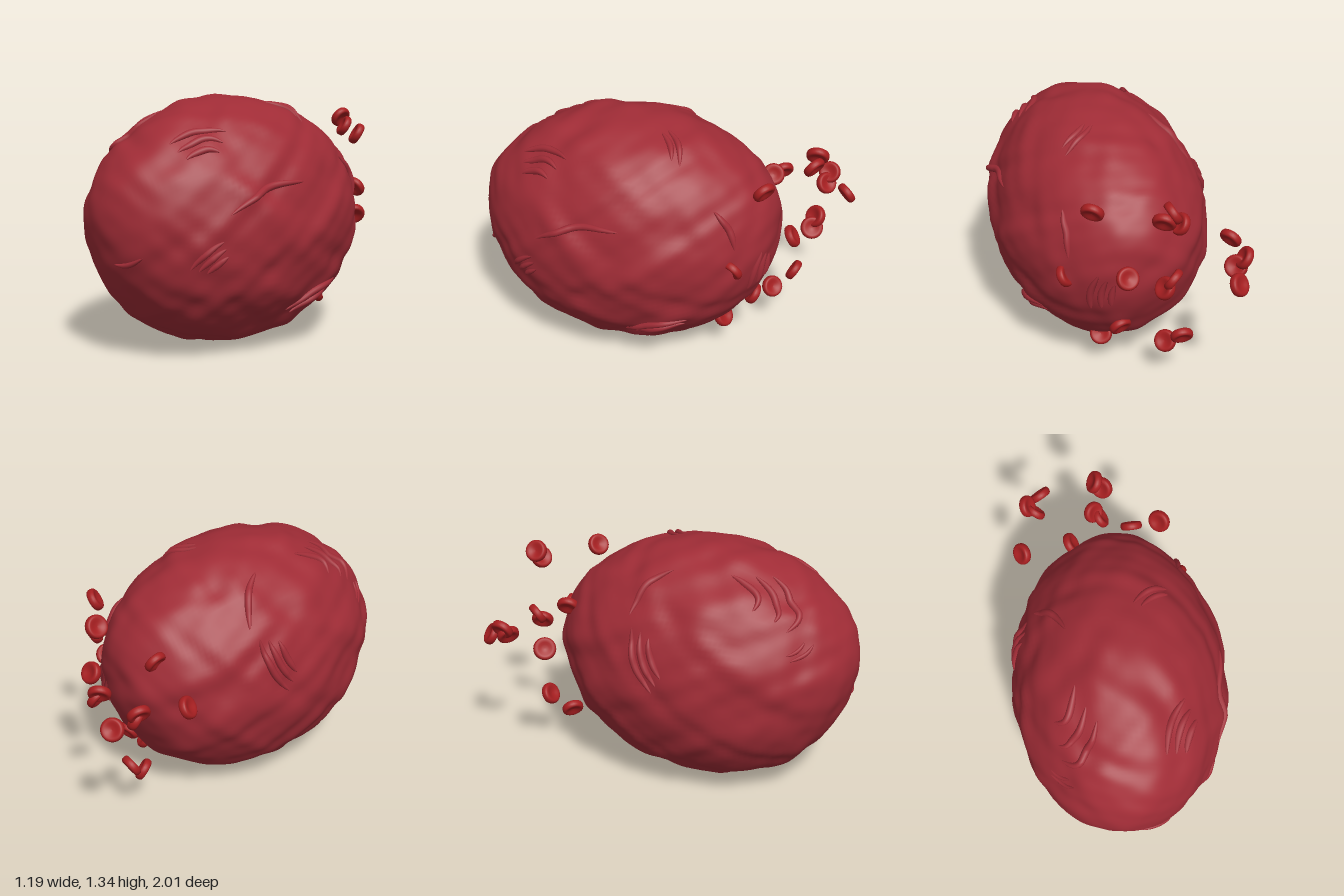
import * as THREE from 'three';
import { mergeVertices } from 'three/addons/utils/BufferGeometryUtils.js';

const fleshRed = new THREE.MeshStandardMaterial({ color: 0xa02c36 });
fleshRed.name = 'flesh red';
const cellRed = new THREE.MeshStandardMaterial({ color: 0xa51e20 });
cellRed.name = 'cell red';

// Gentle lumps: three layers of waves, each finer and shallower
function lumps({ x, y, z }) {
  let sum = 0;
  for (let k = 1; k <= 3; k++) {
    const f = 6 * k;
    sum += 0.014 / k * Math.sin(f * x + 4 * y + k) * Math.sin(f * y - 5 * z) * Math.cos(f * z + 3 * x);
    sum += 0.008 / k * Math.sin(f * 1.7 * y + 5 * z) * Math.sin(f * 1.4 * z - 7 * x + k);
  }
  return sum;
}

// Lumpy egg whose two ends rise a little
function makeBody() {
  let geo = new THREE.SphereGeometry(1, 128, 96).rotateX(Math.PI / 2);
  geo.deleteAttribute('uv');
  geo.deleteAttribute('normal');
  geo = mergeVertices(geo, 1e-5);
  const p = geo.attributes.position;
  const d = new THREE.Vector3();
  for (let i = 0; i < p.count; i++) {
    d.fromBufferAttribute(p, i);
    const n = lumps(d);
    const lift = Math.pow(d.z, 6) * 0.07;
    p.setXYZ(i, d.x * (0.585 + n), 0.672 + lift + d.y * (0.665 + n), 0.175 + d.z * (0.825 + n * 0.5));
  }
  geo.computeVertexNormals();
  const body = new THREE.Mesh(geo, fleshRed);
  body.name = 'body';
  return body;
}

// Rays towards the body from a flat (a, b) position on one side
const rays = {
  front: (a, b) => new THREE.Raycaster(new THREE.Vector3(a, b, 3), new THREE.Vector3(0, 0, -1)),
  back: (a, b) => new THREE.Raycaster(new THREE.Vector3(a, b, -3), new THREE.Vector3(0, 0, 1)),
  left: (a, b) => new THREE.Raycaster(new THREE.Vector3(3, b, a), new THREE.Vector3(-1, 0, 0)),
  right: (a, b) => new THREE.Raycaster(new THREE.Vector3(-3, b, a), new THREE.Vector3(1, 0, 0)),
  top: (a, b) => new THREE.Raycaster(new THREE.Vector3(a, 3, b), new THREE.Vector3(0, -1, 0)),
};

// Skin folds: start and end of each
const folds = {
  front: [[-0.32, 1.03, -0.13, 1.24], [0.07, 0.53, 0.24, 0.58], [-0.38, 0.9, -0.26, 0.96]],
  back: [[0.24, 0.48, 0.22, 0.72]],
  left: [[0.74, 0.52, 0.6, 0.66], [0.57, 0.79, 0.1, 0.92], [0.11, 0.22, -0.24, 0.35], [-0.35, 1, -0.47, 0.78]],
  right: [[-0.08, 1, 0.06, 0.68]],
  top: [[0.21, 0.72, 0.32, 0.44], [-0.44, -0.11, -0.27, 0.07], [0.08, -0.04, 0.26, -0.15]],
};

// Tube laid on the body, tapering to a point at both ends
function makeWrinkle(path, radius) {
  const curve = new THREE.CatmullRomCurve3(path);
  const steps = 24, round = 10;
  const geo = new THREE.TubeGeometry(curve, steps, radius, round);
  const p = geo.attributes.position, v = new THREE.Vector3();
  for (let i = 0; i <= steps; i++) {
    const c = curve.getPointAt(i / steps);
    const taper = 0.02 + Math.pow(Math.abs(Math.sin(Math.PI * i / steps)), 0.6);
    for (let j = 0; j <= round; j++) {
      const k = i * (round + 1) + j;
      v.fromBufferAttribute(p, k).sub(c).multiplyScalar(taper).add(c);
      p.setXYZ(k, v.x, v.y, v.z);
    }
  }
  const mesh = new THREE.Mesh(geo, fleshRed);
  mesh.name = 'wrinkle';
  return mesh;
}

// Bent strands; the first fold of each side has three side by side, the others alternate one and two
function makeWrinkles(body) {
  const group = new THREE.Group();
  group.name = 'wrinkles';
  for (const side in folds) {
    folds[side].forEach(([a0, b0, a1, b1], n) => {
      const da = a1 - a0, db = b1 - b0, length = Math.hypot(da, db);
      const radius = Math.min(0.02, length * 0.08);
      const strands = n === 0 ? 3 : 2 - n % 2;
      for (let s = 0; s < strands; s++) {
        const path = [];
        for (let i = 0; i <= 10; i++) {
          const t = s * 0.1 + (i / 10) * (1 - s * 0.2);
          const off = s * radius * 2.6 / length - 0.1 * Math.sin(Math.PI * t);
          const ray = rays[side](a0 + da * t - db * off, b0 + db * t + da * off);
          const hit = ray.intersectObject(body)[0];
          if (hit) path.push(hit.point);
        }
        group.add(makeWrinkle(path, radius));
      }
    });
  }
  return group;
}

// Disc positions at the narrow end
const cells = [
  [-0.51, 0.8, -0.57], [-0.47, 0.85, -0.84], [-0.4, 0.77, -0.95], [-0.2, 0.34, -0.71], [-0.15, 0.24, -0.6],
  [-0.09, 1.16, -0.81], [-0.1, 0.78, -0.82], [0.11, 0.77, -0.73], [0.25, 1.1, -0.59], [-0.23, 0.93, -0.56],
  [0.36, 0.67, -0.46], [0.08, 0.34, -0.53], [0.14, 0.2, -0.38],
];

function makeCells() {
  // Rounded rim swept in towards a thin dimpled middle
  const profile = [];
  for (let i = 0; i <= 16; i++) {
    const a = Math.PI * (i / 16 - 0.5);
    const r = Math.cos(a);
    profile.push(new THREE.Vector2(0.061 * r, Math.sin(a) * (0.009 + 0.04 * r * r)));
  }
  const geo = new THREE.LatheGeometry(profile, 28);
  const group = new THREE.Group();
  group.name = 'cells';
  const up = new THREE.Vector3(0, 1, 0);
  const addCell = (x, y, z, turn) => {
    const cell = new THREE.Mesh(geo, cellRed);
    cell.name = 'cell';
    cell.position.set(x, y, z);
    const face = new THREE.Vector3(Math.sin(turn), 0.6, Math.cos(turn)).normalize();
    cell.quaternion.setFromUnitVectors(up, face);
    group.add(cell);
  };
  // Each disc tumbles differently; the ones in the middle distance drift in pairs
  cells.forEach(([x, y, z], i) => {
    addCell(x, y, z, i * 2.4 - 1);
    if (z < -0.8 && z > -0.9) addCell(x + 0.04, y - 0.05, z + 0.01, i * 2.4);
  });
  return group;
}

export function createModel() {
  const model = new THREE.Group();
  const body = makeBody();
  model.add(body, makeWrinkles(body), makeCells());
  return model;
}
